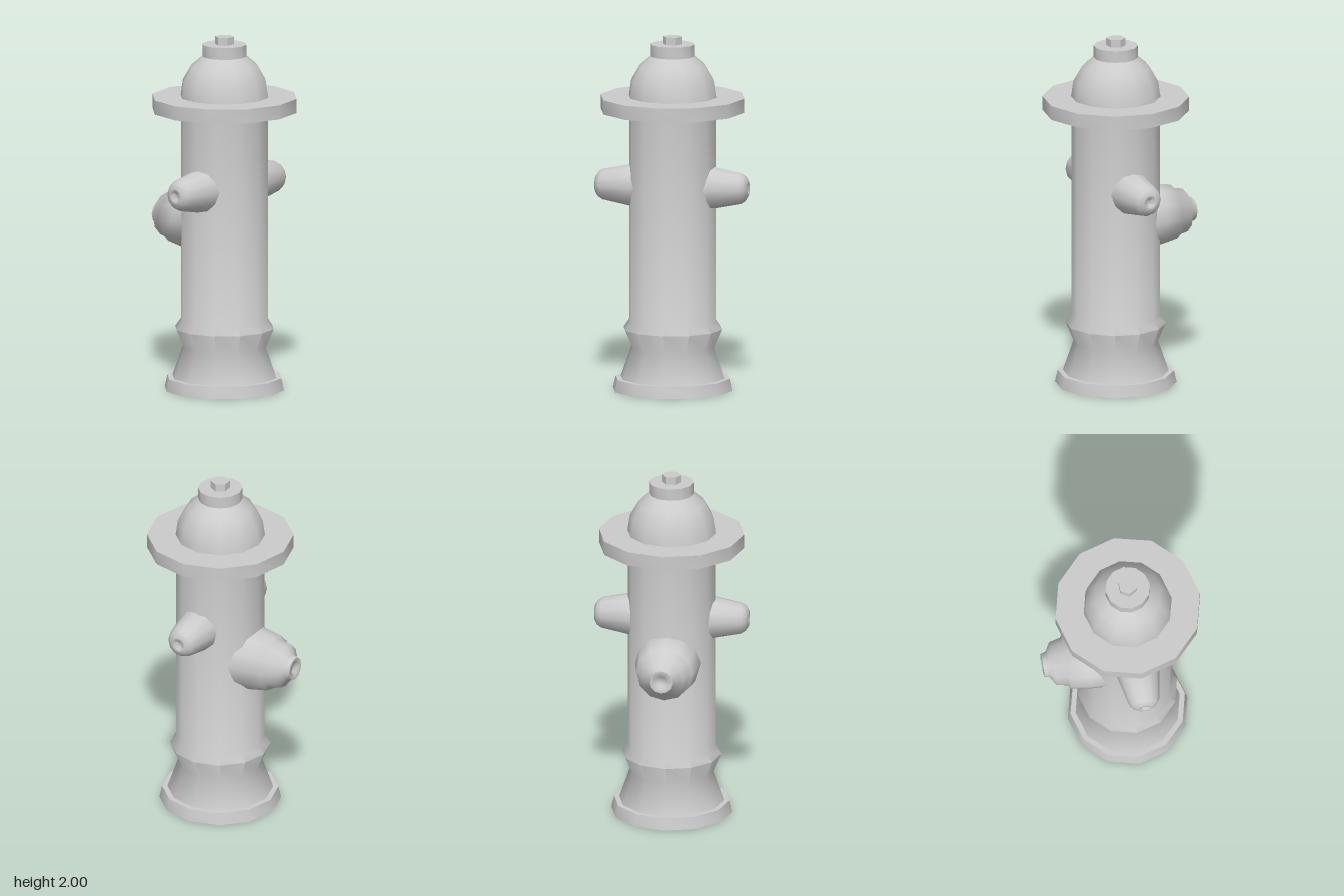
import * as THREE from 'three';
import { toCreasedNormals } from 'three/addons/utils/BufferGeometryUtils.js';

const SIDES = 12;
const AXIS_X = 0.035;
const material = new THREE.MeshStandardMaterial({ color: 0xcccccc, side: THREE.DoubleSide });

// Turned part from [radius, height] pairs, listed from bottom to top
function turned(name, profile, { sides = SIDES, crease = 1.02 } = {}) {
  const points = profile.map(([r, y]) => new THREE.Vector2(r, y));
  const mesh = new THREE.Mesh(toCreasedNormals(new THREE.LatheGeometry(points, sides), crease), material);
  mesh.name = name;
  return mesh;
}

export function createModel() {
  const model = new THREE.Group();
  model.name = 'hydrant';

  // Parts stacked on the upright axis
  const column = new THREE.Group();
  column.name = 'column';
  column.position.x = AXIS_X;
  model.add(column);

  // Hollow foot and barrel, open underneath
  column.add(turned('baseAndBarrel', [
    [0.34, 0], [0.325, 0.068], [0.296, 0.068], [0.236, 0.24],
    [0.281, 0.345], [0.248, 0.392], [0.248, 1.58],
  ]));

  column.add(turned('brim', [[0, 1.58], [0.41, 1.58], [0.41, 1.66], [0, 1.66]]));

  column.add(turned('bonnet', [
    [0.25, 1.66], [0.237, 1.75], [0.188, 1.835], [0.125, 1.89],
  ]));

  column.add(turned('cap', [[0.125, 1.89], [0.125, 1.957], [0, 1.957]]));

  // Six-sided nut with flat faces
  column.add(turned('nut', [[0.054, 1.955], [0.054, 2], [0, 2]], { sides: 6, crease: 0.6 }));

  // Small outlets on the front and back, each with a dimpled tip
  for (const side of [1, -1]) {
    const outlet = turned(side > 0 ? 'frontOutlet' : 'backOutlet', [
      [0.124, 0.18], [0.12, 0.23], [0.087, 0.395], [0.072, 0.418],
      [0.044, 0.435], [0.03, 0.435], [0.018, 0.42], [0, 0.42],
    ]);
    outlet.rotation.x = side * Math.PI / 2;
    outlet.position.set(0.052, 1.153, 0);
    model.add(outlet);
  }

  // Large stepped outlet on the right
  const pumper = turned('sideOutlet', [
    [0.185, 0.1], [0.177, 0.21], [0.158, 0.315], [0.138, 0.325], [0.124, 0.39],
    [0.074, 0.42], [0.066, 0.45], [0.04, 0.45], [0.025, 0.432], [0, 0.432],
  ]);
  pumper.rotation.z = Math.PI / 2;
  pumper.position.y = 0.94;
  model.add(pumper);

  return model;
}
